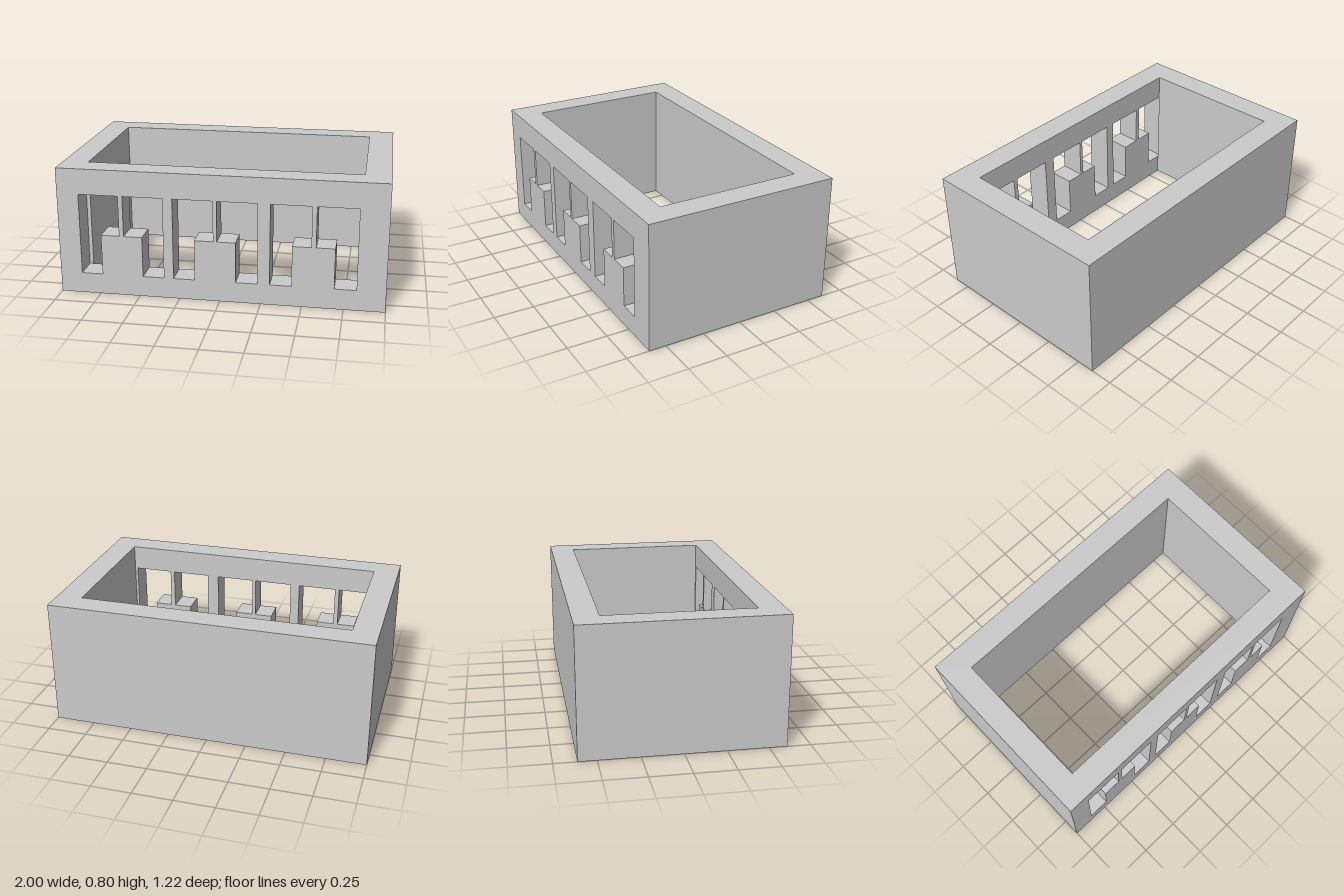
import * as THREE from 'three';

const HEIGHT = 0.8, FRONT = 0.608, BACK = -0.612, INNER_FRONT = 0.45, INNER_BACK = -0.455, INNER_X = 0.842;

const polygon = (points) => points.map(([x, y]) => new THREE.Vector2(x, y));

// L-shaped opening: wide at the top, with a leg along its outer side
function opening(outer, inner, leg) {
  const bottom = 0.13, step = 0.385, top = 0.64;
  return new THREE.Path(polygon([
    [outer, bottom], [leg, bottom], [leg, step], [inner, step], [inner, top], [outer, top],
  ]));
}

export function createModel() {
  const group = new THREE.Group();
  const material = new THREE.MeshStandardMaterial({ color: 0xcccccc, flatShading: true });
  const add = (name, geometry) => {
    const mesh = new THREE.Mesh(geometry, material);
    mesh.name = name;
    group.add(mesh);
    return mesh;
  };

  // Front wall with three mirrored pairs of openings
  const front = new THREE.Shape(polygon([[-1, 0], [1, 0], [1, HEIGHT], [-1, HEIGHT]]));
  for (const [left, right] of [[-0.865, -0.345], [-0.285, 0.23], [0.305, 0.825]]) {
    front.holes.push(opening(left, left + 0.246, left + 0.132));
    front.holes.push(opening(right, right - 0.246, right - 0.132));
  }
  add('frontWall', new THREE.ExtrudeGeometry(front, { depth: FRONT - INNER_FRONT, bevelEnabled: false }))
    .position.z = INNER_FRONT;

  // Back and side walls as one U-shaped plan, open above and below
  const plan = new THREE.Shape(polygon([
    [-1, -INNER_FRONT], [-INNER_X, -INNER_FRONT], [-INNER_X, -INNER_BACK], [INNER_X, -INNER_BACK],
    [INNER_X, -INNER_FRONT], [1, -INNER_FRONT], [1, -BACK], [-1, -BACK],
  ]));
  add('backAndSideWalls', new THREE.ExtrudeGeometry(plan, { depth: HEIGHT, bevelEnabled: false }))
    .rotation.x = -Math.PI / 2;

  return group;
}
